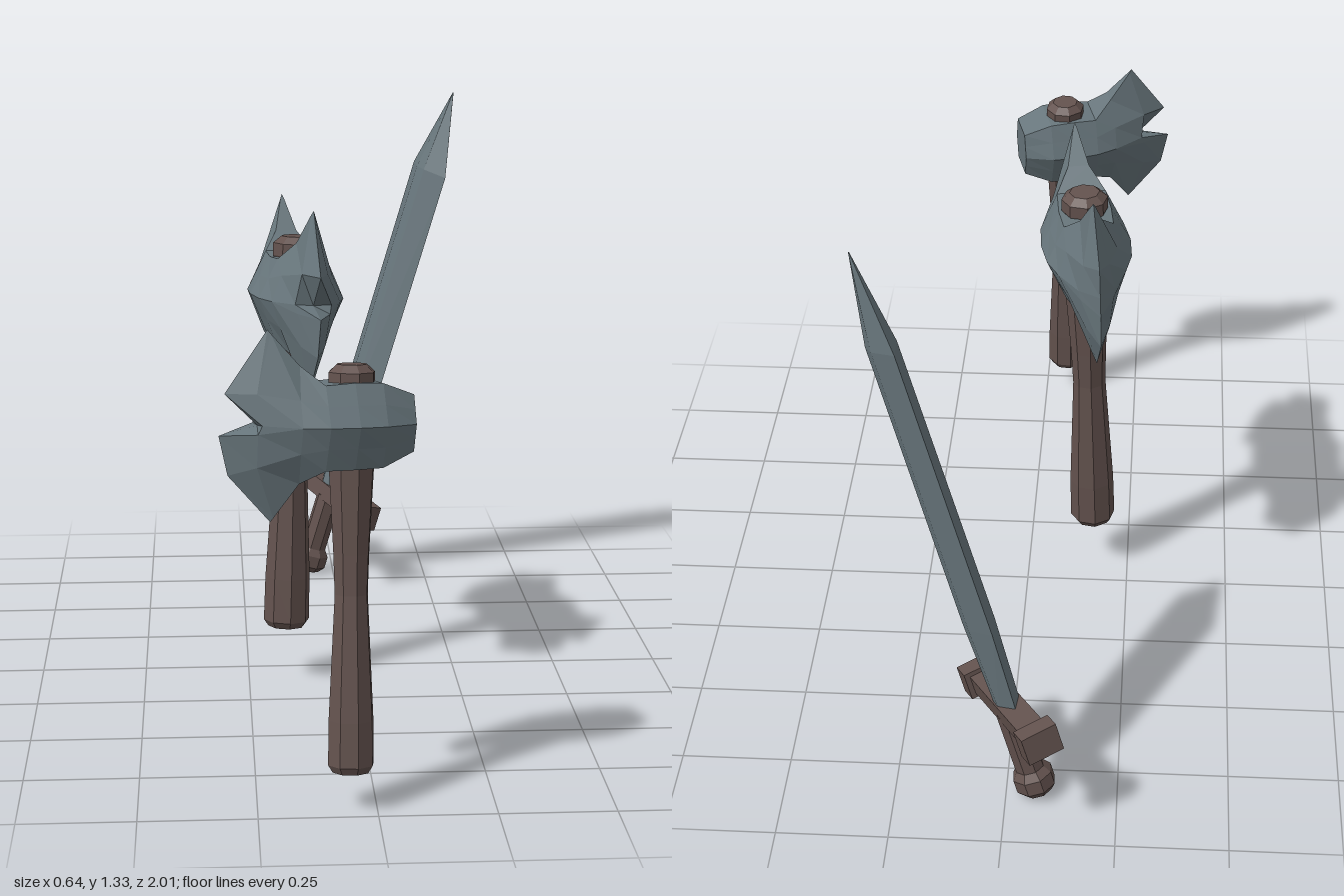
import * as THREE from 'three';

const steel = new THREE.MeshStandardMaterial({ color: 0x68767c, flatShading: true, side: THREE.DoubleSide });
const wood = new THREE.MeshStandardMaterial({ color: 0x63524e, flatShading: true });

function add(group, name, geometry, material, x = 0, y = 0, z = 0) {
  const mesh = new THREE.Mesh(geometry, material);
  mesh.name = name;
  mesh.position.set(x, y, z);
  group.add(mesh);
  return mesh;
}

// Stand a group at a point, its y along "up" and its x as near as possible to "side"
function place(group, position, up, side) {
  const v = new THREE.Vector3(...up).normalize();
  const u = new THREE.Vector3(...side);
  u.addScaledVector(v, -u.dot(v)).normalize();
  const w = new THREE.Vector3().crossVectors(u, v);
  group.quaternion.setFromRotationMatrix(new THREE.Matrix4().makeBasis(u, v, w));
  group.position.set(...position);
}

// Skin a row of closed rings
function loft(rings) {
  const n = rings[0].length;
  const index = [];
  for (let i = 0; i < rings.length - 1; i++) {
    for (let j = 0; j < n; j++) {
      const a = i * n + j, b = i * n + (j + 1) % n;
      index.push(a, b, b + n, a, b + n, a + n);
    }
  }
  const g = new THREE.BufferGeometry();
  g.setAttribute('position', new THREE.Float32BufferAttribute(rings.flat(2), 3));
  g.setIndex(index);
  g.computeVertexNormals();
  return g;
}

// Column of six points down one cheek: [along, height, half thickness]
const block = (u, top, bottom, thin, thick) => {
  const mid = (thin + thick) / 2;
  return [[u, top, thin], [u, top / 2, mid], [u, 0, thick], [u, 0, thick], [u, bottom / 2, mid], [u, bottom, thin]];
};

// Flared axe blade, with or without a chip in its edge
function bladeColumns(chipped) {
  return [
    block(0.08, 0.092, -0.1, 0.058, 0.1),
    [[0.132, 0.135, 0.025], [0.14, 0.06, 0.06], [0.14, 0, 0.08], [0.14, 0, 0.08], [0.14, -0.06, 0.06], [0.134, -0.13, 0.025]],
    [[0.195, 0.207, 0.004], [0.235, 0.075, 0.03], [0.226, 0.005, 0.042], [0.235, -0.015, 0.038],
      [0.235, -0.09, 0.028], [0.19, -0.208, 0.004]],
    [[0.202, 0.216, 0], [0.304, chipped ? 0.075 : 0.1, 0], chipped ? [0.227, 0.003, 0] : [0.307, 0.03, 0],
      chipped ? [0.318, -0.018, 0] : [0.308, -0.02, 0], [0.297, -0.108, 0], [0.196, -0.217, 0]],
  ];
}

const mirrorCheek = (column) => [...column, ...column.map(([u, v, w]) => [u, v, -w]).reverse()];
const headGeometry = (columns) => loft(columns.map(mirrorCheek));

// Octagonal waisted handle with a cap standing proud of the head
function handleGeometry(length, r) {
  const profile = [
    [0, 0], [0.8 * r, 0], [r, 0.016], [0.98 * r, 0.13 * length], [0.72 * r, 0.44 * length],
    [0.78 * r, 0.54 * length], [0.98 * r, 0.75 * length], [0.9 * r, length - 0.055],
    [r, length - 0.045], [r, length - 0.016], [0.65 * r, length], [0, length],
  ];
  return new THREE.LatheGeometry(profile.map(([x, y]) => new THREE.Vector2(x, y)), 8);
}

function createDoubleAxe() {
  const axe = new THREE.Group();
  axe.name = 'doubleAxe';
  add(axe, 'doubleAxeHandle', handleGeometry(0.942, 0.055), wood);
  const back = bladeColumns(false).reverse().map((c) => c.map(([u, v, w]) => [-u, v, w]));
  const head = headGeometry([...back, block(0, 0.088, -0.1, 0.062, 0.107), ...bladeColumns(true)]);
  add(axe, 'doubleAxeHead', head, steel, 0, 0.805, 0);
  place(axe, [-0.16, 0.133, 0.088], [0.032, 1, -0.04], [0.147, 0, 0.989]);
  return axe;
}

function createHandAxe() {
  const axe = new THREE.Group();
  axe.name = 'handAxe';
  add(axe, 'handAxeHandle', handleGeometry(0.852, 0.05), wood);
  const poll = block(-0.12, 0.06, -0.058, 0.045, 0.062);
  const blade = bladeColumns(true).map((c) => c.map(([u, v, w]) => [0.89 * u, 0.91 * v, 0.86 * w]));
  const head = headGeometry([
    poll.map(([u, v]) => [u, v, 0]), // closes the flat hammer face
    poll,
    block(-0.05, 0.086, -0.088, 0.055, 0.088),
    block(0.01, 0.088, -0.09, 0.055, 0.092),
    ...blade,
  ]);
  add(axe, 'handAxeHead', head, steel, 0, 0.73, 0);
  place(axe, [-0.055, 0.083, 0.951], [0.008, 1, -0.106], [-0.966, 0, 0.26]);
  return axe;
}

function createSword() {
  const sword = new THREE.Group();
  sword.name = 'sword';

  // Blade stations: [height, half width, half thickness]
  const stations = [[0.2, 0.052, 0.026], [0.43, 0.079, 0.032], [1.13, 0.081, 0.03], [1.345, 0.001, 0.001]];
  const rings = stations.map(([y, a, t]) => {
    const f = a * 0.22;
    return [[f, y, t], [a, y, 0], [f, y, -t], [-f, y, -t], [-a, y, 0], [-f, y, t]];
  });
  add(sword, 'swordBlade', loft(rings), steel);

  // Crossguard with block ends
  add(sword, 'guardBar', new THREE.BoxGeometry(0.32, 0.045, 0.06), wood, 0, 0.197, 0);
  for (const s of [-1, 1]) {
    add(sword, 'guardEnd', new THREE.BoxGeometry(0.046, 0.066, 0.084), wood, s * 0.168, 0.197, 0);
  }

  // Grip and bevelled pommel
  const grip = new THREE.CylinderGeometry(0.034, 0.034, 0.17, 8);
  add(sword, 'grip', grip, wood, 0, 0.1, 0);
  const pommel = [[0, -0.034], [0.034, -0.034], [0.047, -0.018], [0.047, 0.014], [0.034, 0.032], [0, 0.032]];
  add(sword, 'pommel', new THREE.LatheGeometry(pommel.map(([x, y]) => new THREE.Vector2(x, y)), 8), wood);

  place(sword, [-0.062, 0.043, -0.828], [0.2825, 0.9577, 0.05], [0.44, -0.17, 0.88]);
  return sword;
}

export function createModel() {
  const model = new THREE.Group();
  model.name = 'weaponSet';
  model.add(createHandAxe(), createDoubleAxe(), createSword());
  return model;
}
